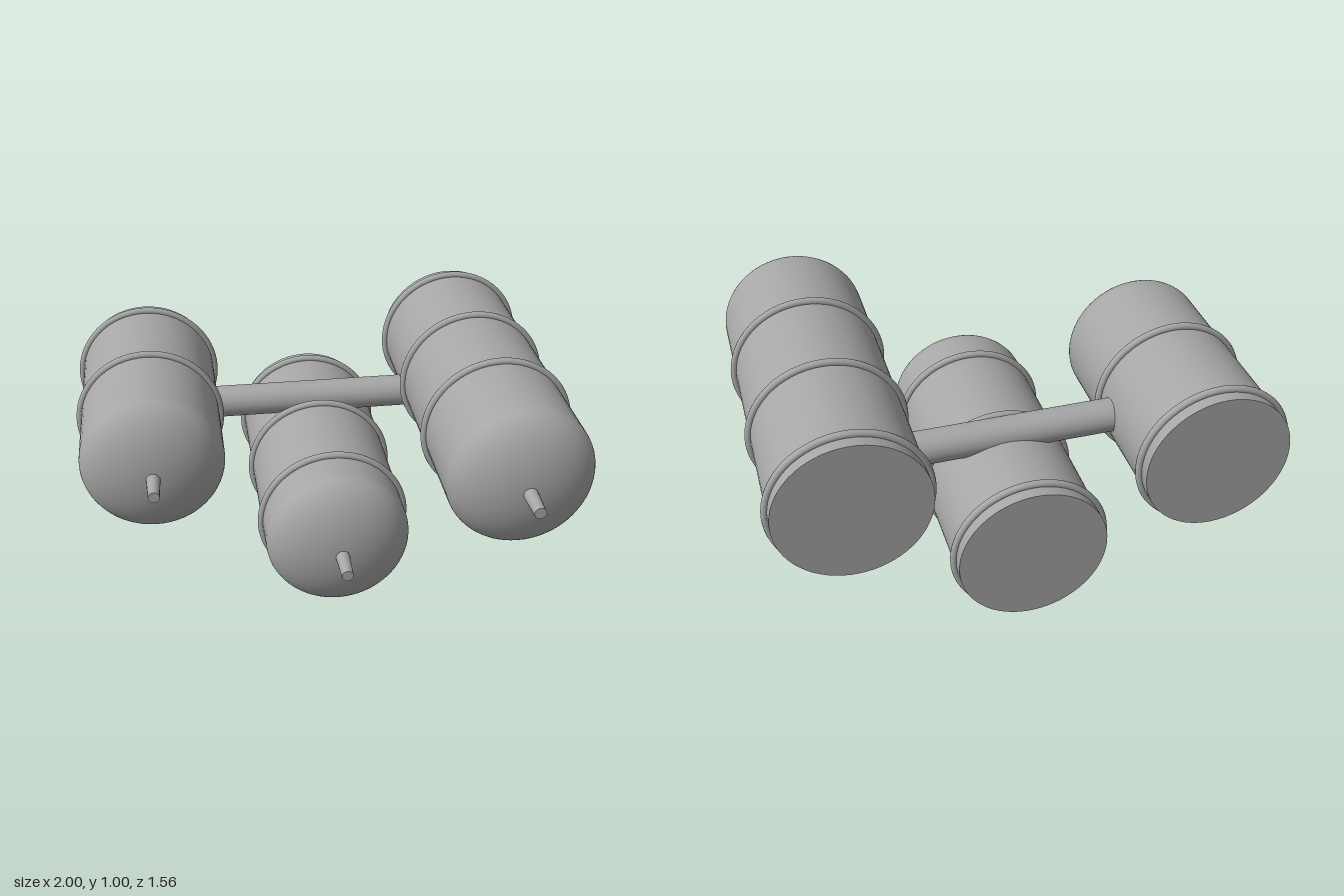
import * as THREE from 'three';

const BACK = -0.78, R = 0.29, DOME = 0.15;
const steel = new THREE.MeshStandardMaterial({ color: 0xa6a6a6 });
steel.name = 'grey steel';

function addMesh(parent, name, geometry, x = 0, y = 0, z = 0) {
  const mesh = new THREE.Mesh(geometry, steel);
  mesh.name = name;
  mesh.position.set(x, y, z);
  parent.add(mesh);
  return mesh;
}

// One horizontal tank along z: flat back, domed front, nozzle and hoops
function makeTank(name, x, y, tip, bands) {
  const tank = new THREE.Group();
  tank.name = name;
  tank.position.set(x, y, 0);

  // Straight shell and half-ellipsoid dome in one smooth profile
  const shoulder = tip - DOME;
  const profile = [new THREE.Vector2(R, BACK)];
  for (let i = 0; i <= 16; i++) {
    const a = (i / 16) * Math.PI / 2;
    profile.push(new THREE.Vector2(i === 16 ? 0 : R * Math.cos(a), shoulder + DOME * Math.sin(a)));
  }
  addMesh(tank, 'shell', new THREE.LatheGeometry(profile, 64).rotateX(Math.PI / 2));

  // Flat back plate
  addMesh(tank, 'backPlate', new THREE.CircleGeometry(R, 64).rotateY(Math.PI), 0, 0, BACK);

  // Raised hoops
  for (const z of bands) {
    addMesh(tank, 'hoop', new THREE.TorusGeometry(0.295, 0.015, 12, 64), 0, 0, z);
  }

  // Slightly tapered nozzle, its root sunk into the dome
  const nozzle = new THREE.CylinderGeometry(0.023, 0.029, 0.145, 16).rotateX(Math.PI / 2);
  addMesh(tank, 'nozzle', nozzle, 0, 0, tip + 0.0525);
  return tank;
}

export function createModel() {
  const model = new THREE.Group();
  model.name = 'tankCluster';
  model.add(
    makeTank('rightTank', -0.69, 0.592, 0.22, [-0.72, -0.285]),
    makeTank('middleTank', 0.027, 0.31, 0.437, [-0.72, -0.285, 0.15]),
    makeTank('leftTank', 0.69, 0.685, 0.655, [-0.72, -0.285, 0.15]),
  );

  // Crossbar joining the tanks
  const bar = new THREE.CylinderGeometry(0.067, 0.067, 0.9, 32).rotateZ(Math.PI / 2);
  addMesh(model, 'crossbar', bar, 0, 0.593, -0.385);
  return model;
}
